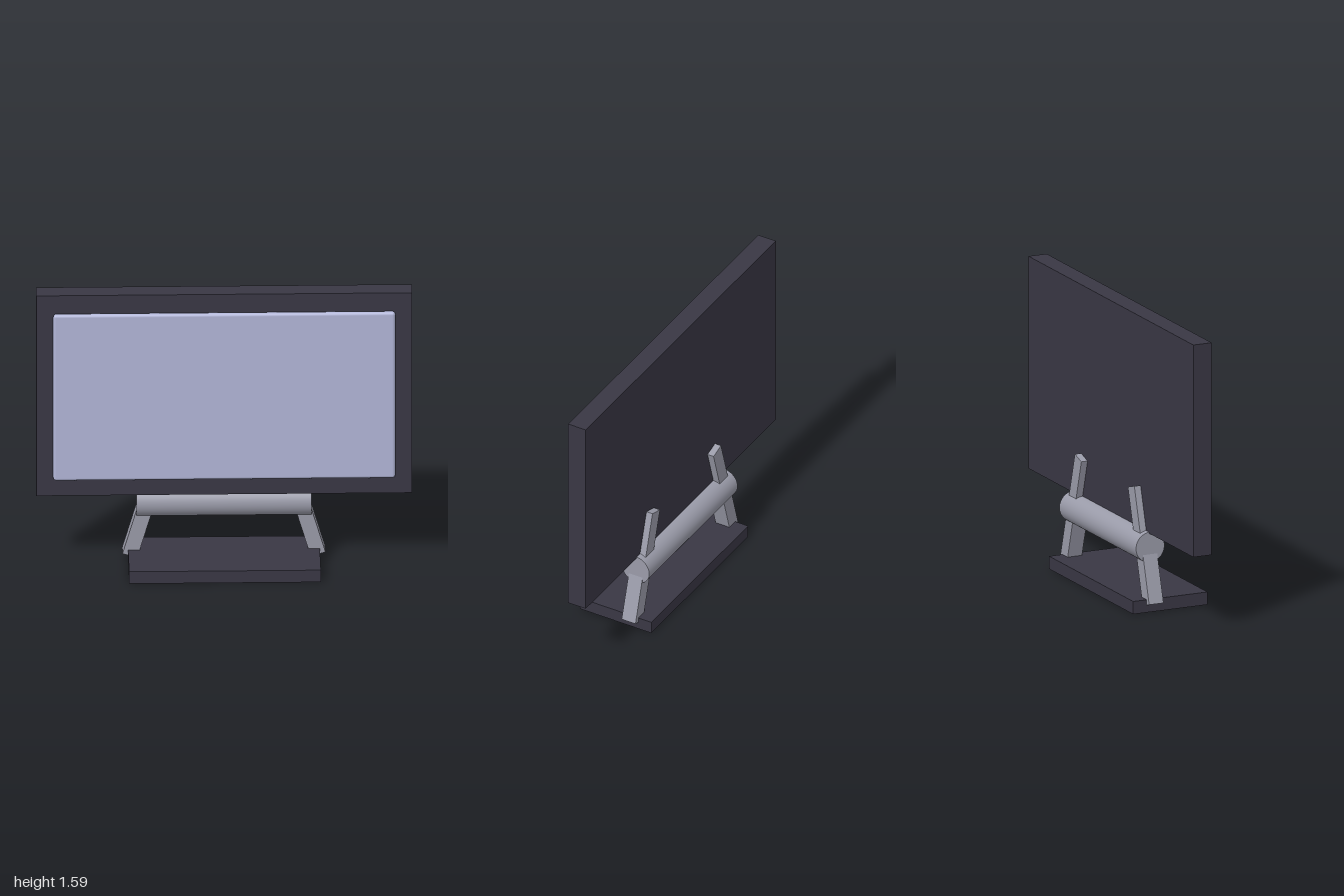
import * as THREE from 'three';
import { RoundedBoxGeometry } from 'three/addons/geometries/RoundedBoxGeometry.js';

const mat = (name, color) => {
  const m = new THREE.MeshStandardMaterial({ color });
  m.name = name;
  return m;
};

export function createModel() {
  const casing = mat('dark casing', 0x393744);
  const metal = mat('grey metal', 0x9a9ba9);
  const glass = mat('pale screen', 0xb2b6d8);

  const group = new THREE.Group();
  group.name = 'monitor';

  const add = (name, geometry, material, x, y, z) => {
    const mesh = new THREE.Mesh(geometry, material);
    mesh.name = name;
    mesh.position.set(x, y, z);
    group.add(mesh);
    return mesh;
  };

  // Foot and display housing
  add('base', new THREE.BoxGeometry(1.02, 0.07, 0.44), casing, 0, 0.035, 0);
  add('housing', new THREE.BoxGeometry(2, 1.17, 0.108), casing, 0, 1.005, -0.049);

  // Screen pane with rounded rim, just proud of the housing
  add('screen', new RoundedBoxGeometry(1.82, 0.97, 0.033, 5, 0.016), glass, 0, 1.005, 0.024);

  // Horizontal hinge barrel
  const barrel = new THREE.CylinderGeometry(0.084, 0.084, 0.93, 48);
  barrel.rotateZ(Math.PI / 2);
  add('hingeBarrel', barrel, metal, 0, 0.344, -0.097);

  // Leaning arms running from the foot through the barrel to the housing's back
  const arm = new THREE.BoxGeometry(0.082, 0.636, 0.085);
  for (const side of [1, -1]) {
    const mesh = add(side > 0 ? 'leftArm' : 'rightArm', arm, metal, side * 0.411, 0.343, -0.0975);
    mesh.rotation.z = side * 0.286;
  }

  return group;
}
